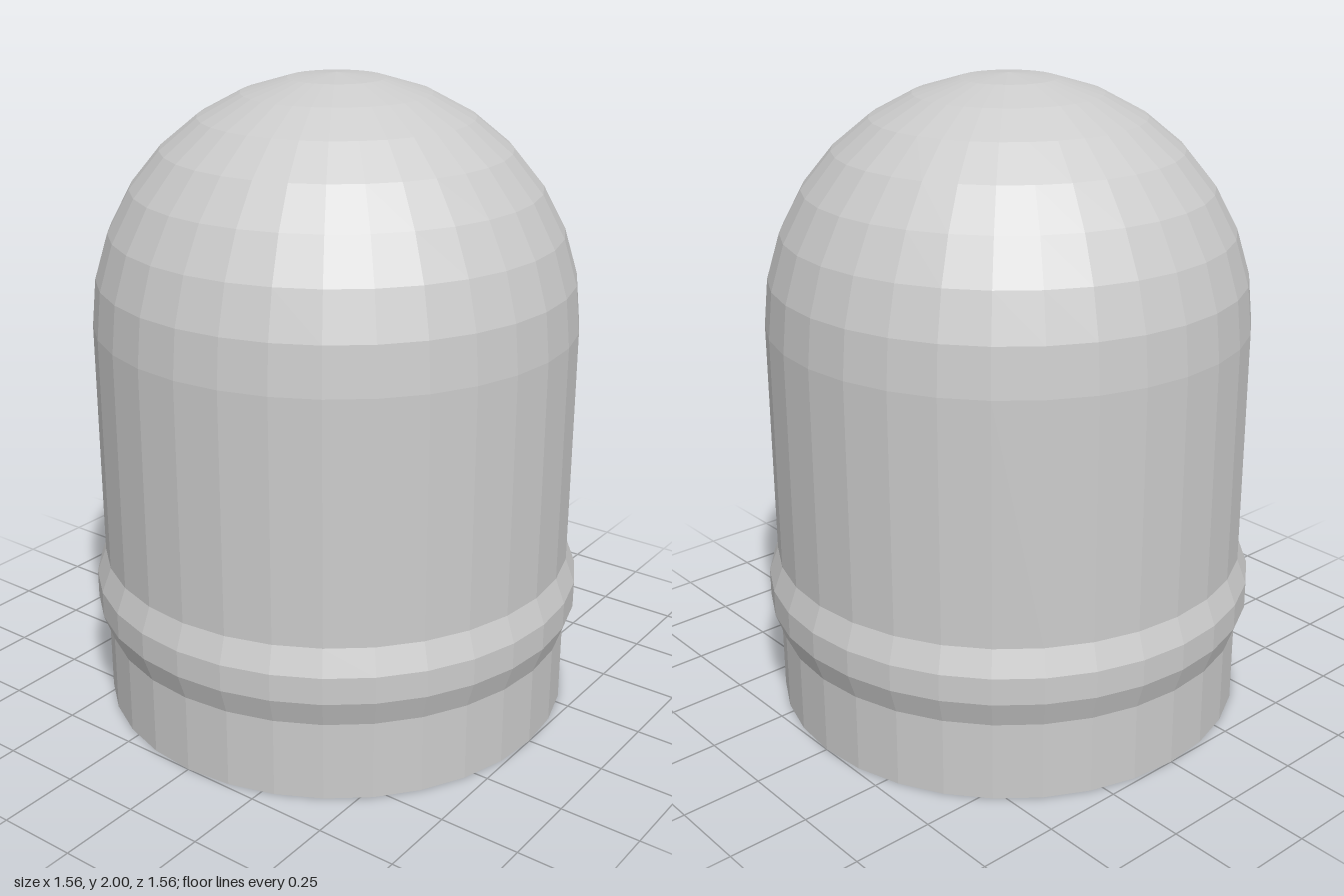
import * as THREE from 'three';

const SEGMENTS = 32;
const RADIUS = 0.75;

export function createModel() {
  const model = new THREE.Group();
  model.name = 'domedCap';
  const material = new THREE.MeshStandardMaterial({ color: 0xcccccc, flatShading: true });

  // Revolve a profile of [radius, height] pairs around the y axis
  const addLathe = (name, profile) => {
    const points = profile.map(([r, y]) => new THREE.Vector2(r, y));
    const mesh = new THREE.Mesh(new THREE.LatheGeometry(points, SEGMENTS), material);
    mesh.name = name;
    model.add(mesh);
  };

  // Recess in the underside: flat ceiling, inner wall and bottom rim
  addLathe('socket', [[0, 0.375], [0.705, 0.375], [0.705, 0], [RADIUS, 0]]);

  // Lower wall, raised bead and straight wall
  addLathe('body', [
    [RADIUS, 0], [RADIUS, 0.25], [0.78, 0.335], [0.78, 0.42], [RADIUS, 0.5], [RADIUS, 1.25],
  ]);

  // Hemispherical top
  const dome = [];
  for (let i = 0; i <= 8; i++) {
    const a = (i / 8) * Math.PI / 2;
    dome.push([i === 8 ? 0 : RADIUS * Math.cos(a), 1.25 + RADIUS * Math.sin(a)]);
  }
  addLathe('dome', dome);

  return model;
}
